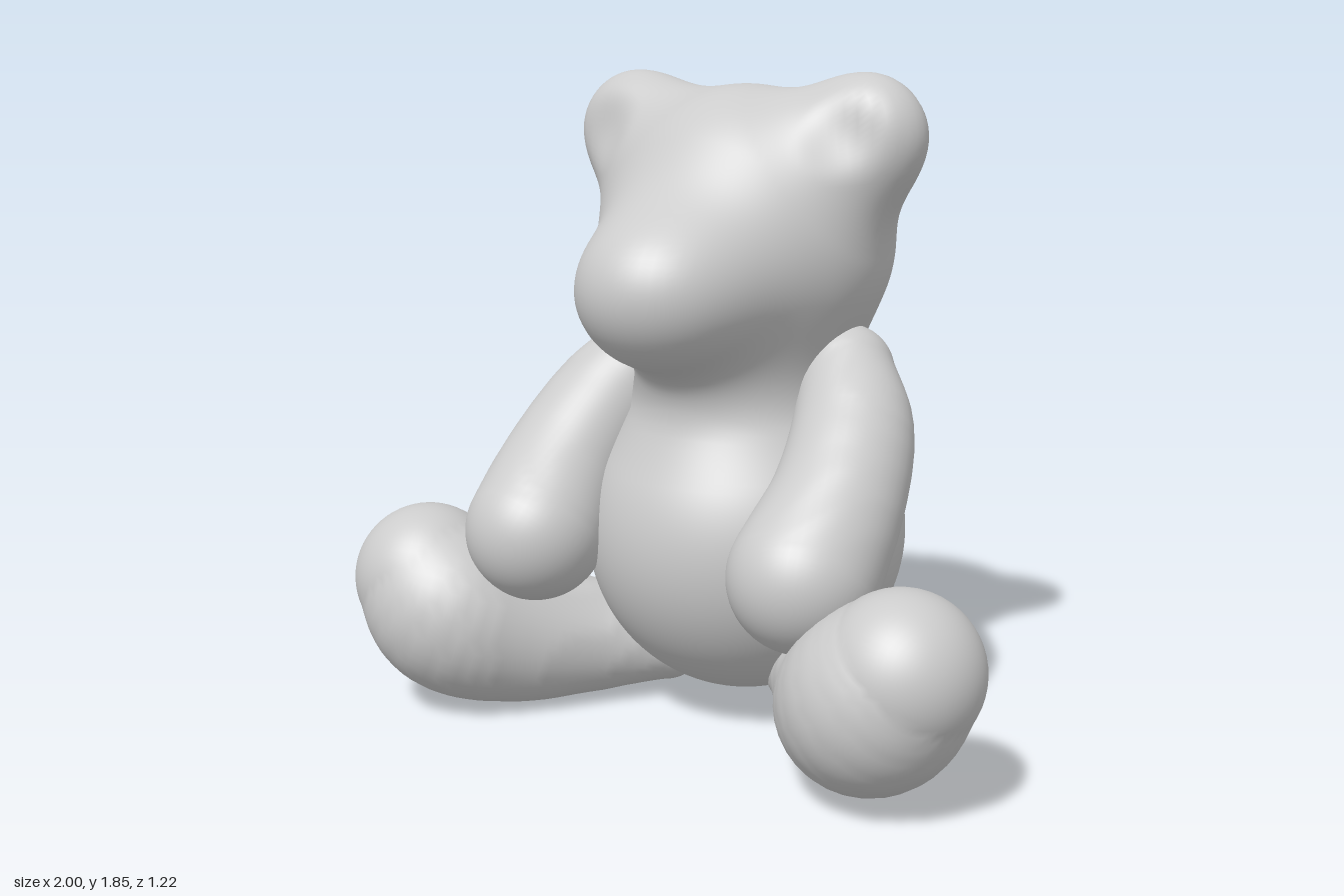
import * as THREE from 'three';

const V = (x, y, z) => new THREE.Vector3(x, y, z);
const grey = new THREE.MeshStandardMaterial({ color: 0xcccccc, roughness: 0.8 });

// Smooth union and smooth cut of two distances
const blend = (a, b, k) => {
  const h = Math.max(k - Math.abs(a - b), 0) / k;
  return Math.min(a, b) - h * h * k * 0.25;
};
const carve = (a, b, k) => -blend(-a, b, k);

const ellipsoid = (p, cx, cy, cz, rx, ry, rz) => {
  const x = (p.x - cx) / rx, y = (p.y - cy) / ry, z = (p.z - cz) / rz;
  const k0 = Math.hypot(x, y, z);
  const k1 = Math.hypot(x / rx, y / ry, z / rz);
  return k1 < 1e-6 ? -Math.min(rx, ry, rz) : k0 * (k0 - 1) / k1;
};

// Skin: rings of rays from a spine (a to b), each stopped at the surface.
// keys: [position on spine, elevation in degrees, rows from the previous key]
function skin(name, dist, a, b, keys, segments) {
  const axis = b.clone().sub(a).normalize();
  const u = V(0, 0, 1).cross(axis).normalize();
  const v = axis.clone().cross(u);
  const rows = [[keys[0][0], keys[0][1]]];
  for (let k = 1; k < keys.length; k++) {
    for (let i = 1; i <= keys[k][2]; i++) {
      const t = i / keys[k][2];
      rows.push([0, 1].map((n) => THREE.MathUtils.lerp(keys[k - 1][n], keys[k][n], t)));
    }
  }
  const position = [], normal = [], index = [];
  const e = 0.008;
  rows.forEach(([s, degrees], i) => {
    const origin = a.clone().lerp(b, s);
    const el = THREE.MathUtils.degToRad(degrees);
    for (let j = 0; j <= segments; j++) {
      const phi = j / segments * Math.PI * 2;
      const dir = axis.clone().multiplyScalar(Math.sin(el))
        .addScaledVector(u, Math.cos(el) * Math.cos(phi))
        .addScaledVector(v, Math.cos(el) * Math.sin(phi));
      const p = origin.clone();
      for (let n = 0; n < 50; n++) p.addScaledVector(dir, -0.7 * dist(p));
      const g = V(
        dist(V(p.x + e, p.y, p.z)) - dist(V(p.x - e, p.y, p.z)),
        dist(V(p.x, p.y + e, p.z)) - dist(V(p.x, p.y - e, p.z)),
        dist(V(p.x, p.y, p.z + e)) - dist(V(p.x, p.y, p.z - e))
      ).normalize();
      position.push(p.x, p.y, p.z);
      normal.push(g.x, g.y, g.z);
      if (i && j) {
        const d = i * (segments + 1) + j, c = d - segments - 1;
        index.push(c - 1, c, d, c - 1, d, d - 1);
      }
    }
  });
  const geo = new THREE.BufferGeometry();
  geo.setAttribute('position', new THREE.Float32BufferAttribute(position, 3));
  geo.setAttribute('normal', new THREE.Float32BufferAttribute(normal, 3));
  geo.setIndex(index);
  const mesh = new THREE.Mesh(geo, grey);
  mesh.name = name;
  return mesh;
}

// Belly, chest, head, muzzle and ears flowing into one another
function bodyDistance(p) {
  let d = ellipsoid(p, 0, 0.535, -0.14, 0.465, 0.47, 0.47);
  d = blend(d, ellipsoid(p, 0, 0.95, -0.145, 0.28, 0.4, 0.33), 0.14);
  let head = ellipsoid(p, 0, 1.395, -0.135, 0.435, 0.425, 0.395);
  head = blend(head, ellipsoid(p, 0, 1.28, 0.245, 0.255, 0.228, 0.272), 0.18);
  const q = V(Math.abs(p.x), p.y, p.z);
  let ear = ellipsoid(q, 0.375, 1.68, -0.145, 0.18, 0.175, 0.14);
  // Shallow hollow in the front of the ear
  ear = carve(ear, ellipsoid(q, 0.385, 1.68, 0.1, 0.13, 0.13, 0.12), 0.08);
  head = blend(head, ear, 0.17);
  return blend(d, head, 0.17);
}

// Limb: a smooth chain of round cones along a spline through [x, y, z, radius] joints
function limb(name, joints, side) {
  const steps = 24;
  const path = new THREE.CatmullRomCurve3(joints.map(([x, y, z]) => V(x * side, y, z)));
  const girth = new THREE.SplineCurve(joints.map((joint, i) => new THREE.Vector2(i, joint[3])));
  const c = [], r = [];
  for (let i = 0; i <= steps; i++) {
    c.push(path.getPoint(i / steps));
    r.push(girth.getPoint(i / steps).y);
  }
  const ab = V(0, 0, 0), ap = V(0, 0, 0);
  const dist = (p) => {
    let d = Infinity;
    for (let i = 0; i < steps; i++) {
      ab.subVectors(c[i + 1], c[i]);
      ap.subVectors(p, c[i]);
      const h = THREE.MathUtils.clamp(ap.dot(ab) / ab.lengthSq(), 0, 1);
      d = Math.min(d, ap.addScaledVector(ab, -h).length() - THREE.MathUtils.lerp(r[i], r[i + 1], h));
    }
    return d;
  };
  const keys = [[0, -90], [0, 0, 14], [1, 0, 26], [1, 90, 16]];
  return skin(name, dist, c[0], c[steps], keys, 48);
}

export function createModel() {
  const bear = new THREE.Group();
  bear.name = 'teddyBear';

  bear.add(skin('bodyAndHead', bodyDistance, V(0, 0.5, -0.14), V(0, 1.38, -0.2),
    [[0, -90], [0, 47, 44], [1, -48, 1], [1, 90, 80]], 128));

  const arm = [[0.335, 1.03, -0.13, 0.135], [0.415, 0.89, -0.025, 0.168],
    [0.455, 0.72, 0.135, 0.183], [0.445, 0.555, 0.29, 0.203]];
  const leg = [[0.25, 0.165, -0.08, 0.128], [0.44, 0.185, 0.09, 0.175],
    [0.58, 0.22, 0.24, 0.217], [0.7, 0.295, 0.36, 0.245], [0.785, 0.385, 0.375, 0.215]];
  for (const [label, side] of [['left', 1], ['right', -1]]) {
    bear.add(limb(label + 'Arm', arm, side));
    bear.add(limb(label + 'Leg', leg, side));
  }
  return bear;
}
